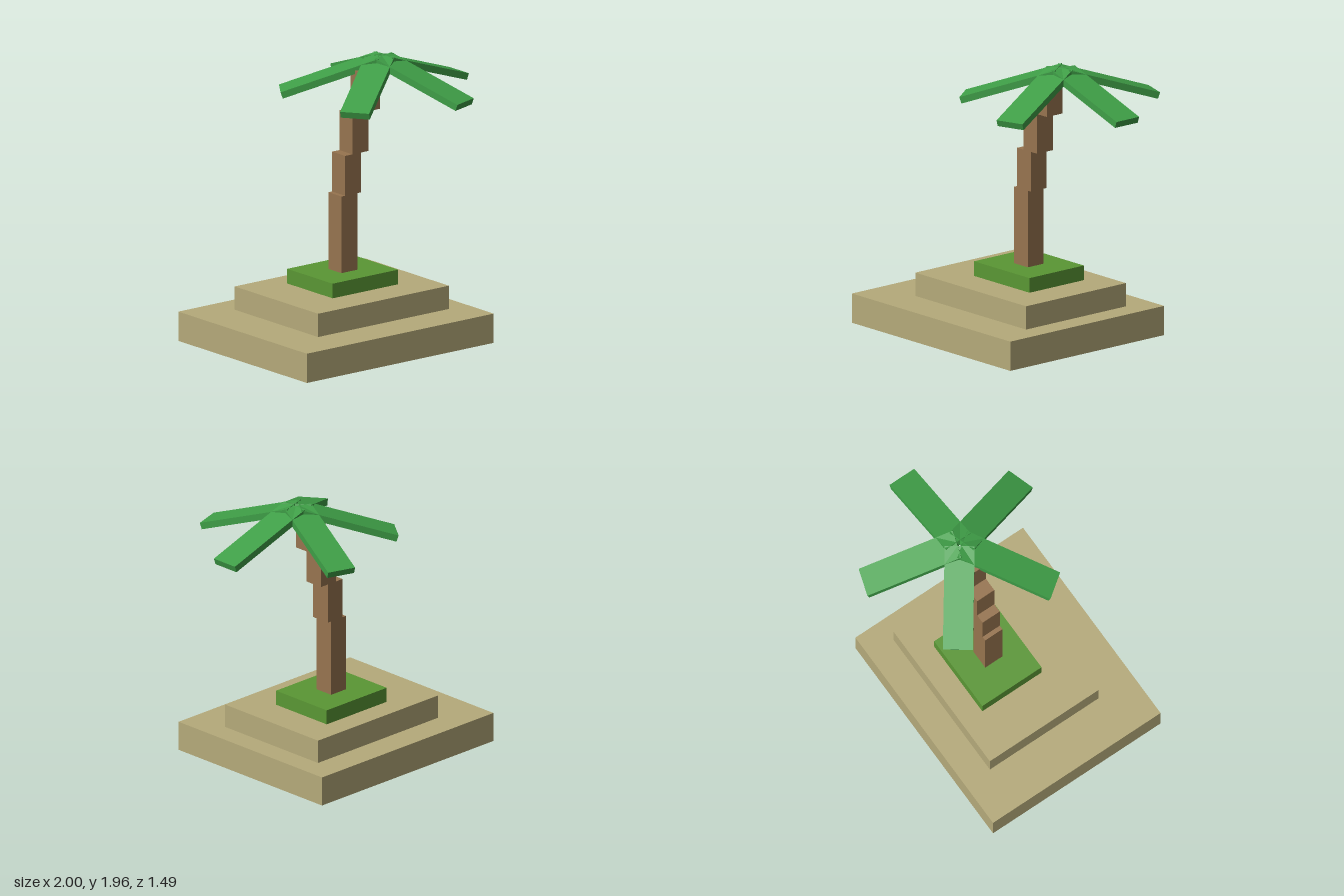
import * as THREE from 'three';

const paint = (name, color) => {
  const m = new THREE.MeshStandardMaterial({ color, side: THREE.DoubleSide });
  m.name = name;
  return m;
};

// Box without its underside
function openBox(w, h, d) {
  const g = new THREE.BoxGeometry(w, h, d);
  const index = Array.from(g.index.array);
  index.splice(18, 6);
  g.setIndex(index);
  g.clearGroups();
  return g;
}

// Open box given by its extents
function block(name, material, [x0, x1], [y0, y1], [z0, z1]) {
  const mesh = new THREE.Mesh(openBox(x1 - x0, y1 - y0, z1 - z0), material);
  mesh.position.set((x0 + x1) / 2, (y0 + y1) / 2, (z0 + z1) / 2);
  mesh.name = name;
  return mesh;
}

export function createModel() {
  const model = new THREE.Group();
  model.name = 'palmIsland';
  const sand = paint('sand', 0xb5aa7a);
  const grass = paint('grass', 0x5a9734);
  const bark = paint('bark', 0x97744f);
  const leaf = paint('leaf', 0x3f9f47);

  // Stepped island
  model.add(
    block('lowerSand', sand, [-1, 0.665], [0, 0.21], [-0.67, 0.745]),
    block('upperSand', sand, [-0.665, 0.5], [0.21, 0.377], [-0.463, 0.455]),
    block('grassPatch', grass, [-0.333, 0.25], [0.377, 0.482], [-0.295, 0.205])
  );

  // Leaning trunk: left edge, bottom and top of each segment
  const trunk = new THREE.Group();
  trunk.name = 'trunk';
  [
    [-0.112, 0.482, 1.032],
    [-0.08, 1.032, 1.318],
    [-0.014, 1.318, 1.603],
    [0.088, 1.603, 1.88],
  ].forEach(([x, y0, y1], i) =>
    trunk.add(block('trunkSegment' + (i + 1), bark, [x, x + 0.143], [y0, y1], [-0.116, 0.029])));
  model.add(trunk);

  // Five drooping fronds around the crown, hollow underneath
  const length = 0.718, thick = 0.048, inner = 0.02;
  const frond = openBox(length, thick, 0.208);
  frond.translate(length / 2, -thick / 2, 0);
  frond.rotateZ(-Math.atan2(0.23, 0.68));
  frond.translate(inner, 0, 0);
  const crown = new THREE.Group();
  crown.name = 'crown';
  crown.position.set(0.298, 1.962, -0.045);
  for (let i = 0; i < 5; i++) {
    const mesh = new THREE.Mesh(frond, leaf);
    mesh.name = 'frond' + (i + 1);
    mesh.rotation.y = (i * Math.PI * 2) / 5;
    crown.add(mesh);
  }
  model.add(crown);
  return model;
}
